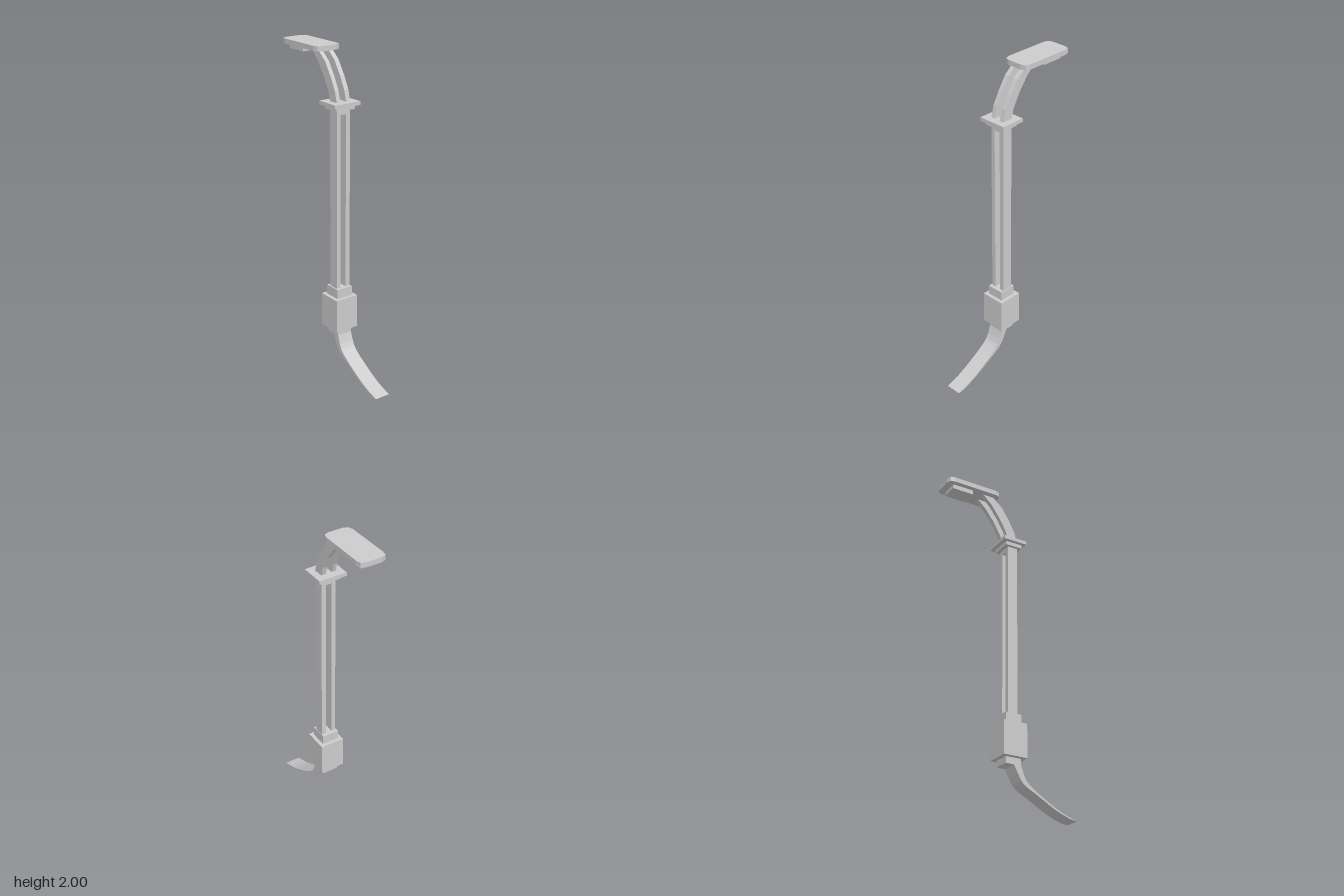
import * as THREE from 'three';

const material = new THREE.MeshStandardMaterial({ color: 0xcccccc, flatShading: true });

export function createModel() {
  const group = new THREE.Group();

  function add(name, geometry) {
    const mesh = new THREE.Mesh(geometry, material);
    mesh.name = name;
    group.add(mesh);
    return mesh;
  }

  // Box given by its extents on each axis
  function box(name, [x0, x1], [y0, y1], [z0, z1]) {
    add(name, new THREE.BoxGeometry(x1 - x0, y1 - y0, z1 - z0))
      .position.set((x0 + x1) / 2, (y0 + y1) / 2, (z0 + z1) / 2);
  }

  // Side profile of [z, y] points, extruded across x
  function sideProfile(name, points, [x0, x1]) {
    const shape = new THREE.Shape(points.map(([z, y]) => new THREE.Vector2(-z, y)));
    const geometry = new THREE.ExtrudeGeometry(shape, { depth: x1 - x0, bevelEnabled: false });
    geometry.rotateY(Math.PI / 2);
    add(name, geometry).position.x = x0;
  }

  // Smooth run of points through a few profile points
  const smooth = (points, n) => new THREE.SplineCurve(
    points.map(([z, y]) => new THREE.Vector2(z, y))).getPoints(n).map(p => [p.x, p.y]);

  // Curved foot tapering to a tip
  const footTop = [[0.068, 0.275], [0.1, 0.192], [0.15, 0.145], [0.24, 0.088], [0.34, 0.035], [0.44, 0]];
  const footUnder = [[0.395, 0.006], [0.3, 0.042], [0.18, 0.108], [0.095, 0.155], [0.058, 0.2], [0.02, 0.275]];
  sideProfile('foot', [...smooth(footTop, 14), ...smooth(footUnder, 14)], [-0.052, 0.046]);

  // Base block with a collar above and below
  box('lowerCollar', [-0.052, 0.046], [0.265, 0.305], [-0.03, 0.07]);
  box('baseBlock', [-0.08, 0.073], [0.305, 0.51], [-0.057, 0.095]);
  box('upperCollar', [-0.057, 0.05], [0.51, 0.568], [-0.033, 0.073]);

  // Twin posts, each continued by a curved arm
  const arm = [
    [0.052, 1.7], [0.034, 1.765], [-0.005, 1.84], [-0.058, 1.92], [-0.12, 1.972],
    [-0.19, 1.972], [-0.13, 1.915], [-0.075, 1.84], [-0.028, 1.757], [-0.012, 1.7],
  ];
  for (const [side, span] of [['right', [-0.048, -0.022]], ['left', [0.017, 0.046]]]) {
    box(side + 'Post', span, [0.568, 1.655], [-0.012, 0.052]);
    sideProfile(side + 'Arm', arm, span);
  }

  // Bridge between the posts and stepped plate on top
  box('postBridge', [-0.022, 0.017], [1.627, 1.655], [-0.011, 0.051]);
  box('lowerPlate', [-0.067, 0.063], [1.655, 1.678], [-0.034, 0.073]);
  box('upperPlate', [-0.09, 0.087], [1.678, 1.7], [-0.059, 0.094]);

  // Lamp head with clipped corners
  const half = [[0.046, 0.081], [0.074, 0.092], [0.083, 0.12], [0.083, 0.402], [0.076, 0.432], [0.048, 0.442]];
  const outline = [...half, ...half.map(([x, z]) => [-x, z]).reverse()];
  const head = new THREE.ExtrudeGeometry(
    new THREE.Shape(outline.map(([x, z]) => new THREE.Vector2(x, z))),
    { depth: 0.03, bevelEnabled: false });
  head.rotateX(-Math.PI / 2);
  add('lampHead', head).position.y = 1.97;
  box('lampPanel', [-0.052, 0.05], [1.942, 1.97], [-0.4, -0.265]);

  return group;
}
